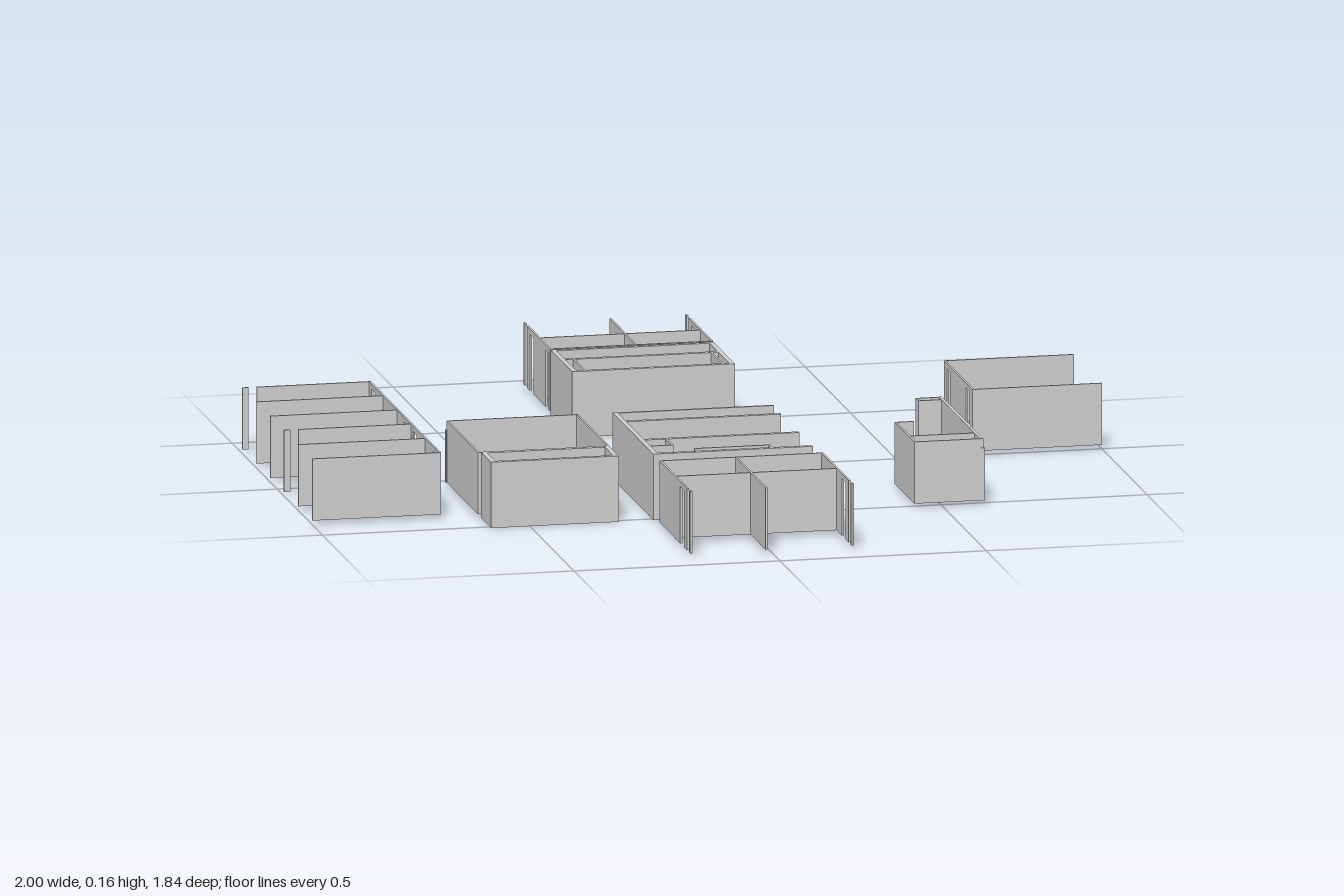
import * as THREE from 'three';

const TOP = 0.16, BASE = 0.01, THIN = 0.005, THICK = 0.012;

export function createModel() {
  const model = new THREE.Group();
  model.name = 'buildingWalls';
  const mat = new THREE.MeshStandardMaterial({ color: 0xcccccc, side: THREE.DoubleSide });

  function block(parent, name, x0, x1, y0, y1, z0, z1) {
    const mesh = new THREE.Mesh(new THREE.BoxGeometry(x1 - x0, y1 - y0, z1 - z0), mat);
    mesh.position.set((x0 + x1) / 2, (y0 + y1) / 2, (z0 + z1) / 2);
    mesh.name = name;
    parent.add(mesh);
  }

  // A straight wall along x or z; doors are [from, to] openings below a header
  function wall(parent, name, axis, pos, from, to, t = THIN, doors = [], doorTop = 0.148) {
    const y0 = t === THICK ? 0 : BASE;
    const piece = (n, a, b, low, high) => axis === 'x'
      ? block(parent, n, a, b, low, high, pos - t / 2, pos + t / 2)
      : block(parent, n, pos - t / 2, pos + t / 2, low, high, a, b);
    let start = from;
    for (const [a, b] of doors) {
      piece(name, start, a, y0, TOP);
      piece('doorHeader', a, b, doorTop, TOP);
      start = b;
    }
    piece(name, start, to, y0, TOP);
  }

  function room(name) {
    const g = new THREE.Group();
    g.name = name;
    model.add(g);
    return g;
  }

  // Row of five bays, open on the right
  const bays = room('bayRow');
  wall(bays, 'bayRearWall', 'z', -0.69, -0.39, 0.387, THIN,
    [[-0.36, -0.32], [-0.13, -0.09], [0, 0.04], [0.1, 0.14], [0.32, 0.36]]);
  [-0.388, -0.235, -0.08, 0.073, 0.23, 0.385].forEach((z, i) => {
    if (i === 0 || i === 3) {
      wall(bays, 'bayPost', 'x', z, -1, -0.985);
      wall(bays, 'bayDivider', 'x', z, -0.965, -0.69);
    } else wall(bays, 'bayDivider', 'x', z, -1, -0.69);
  });

  // Large square room with a thick-walled annex in front
  const hall = room('squareRoom');
  for (const x of [-0.6, -0.285]) wall(hall, 'sideWall', 'z', x, 0.06, 0.405);
  for (const z of [0.06, 0.403]) wall(hall, 'endWall', 'x', z, -0.6, -0.283);
  block(hall, 'cornerPost', -0.605, -0.583, BASE, 0.138, 0.056, 0.066);
  for (const x of [-0.588, -0.29]) wall(hall, 'annexSide', 'z', x, 0.4, 0.513, THICK);
  for (const z of [0.408, 0.507]) wall(hall, 'annexEnd', 'x', z, -0.594, -0.284, THICK);

  // Central hall, open on the left, with a row of doorways at the back
  const centre = room('centralRoom');
  wall(centre, 'spineWall', 'z', -0.194, 0.06, 0.51, THICK);
  wall(centre, 'doorwayWall', 'x', 0.064, -0.2, 0.19, 0.008,
    [[-0.16, -0.12], [-0.07, -0.03], [0.02, 0.06], [0.11, 0.15]], 0.115);
  for (const z of [0.155, 0.355, 0.505]) wall(centre, 'crossWall', 'x', z, -0.2, 0.187, THICK);
  wall(centre, 'closetSide', 'z', -0.135, 0.36, 0.425);
  wall(centre, 'closetFront', 'x', 0.424, -0.195, -0.133);
  wall(centre, 'nicheBack', 'x', 0.472, -0.092, 0.092);
  for (const x of [-0.09, 0.09]) wall(centre, 'nicheSide', 'z', x, 0.472, 0.502);

  // Front and back four-bay blocks, open at their outer ends
  function bayBlock(name, s, inner, cross, middle, outer, doors) {
    const g = room(name);
    const span = (a, b) => [Math.min(a * s, b * s), Math.max(a * s, b * s)];
    const sorted = doors.map(([a, b]) => span(a, b)).sort((a, b) => a[0] - b[0]);
    for (const x of [-0.198, 0.194]) {
      wall(g, 'sideWall', 'z', x, ...span(inner, 0.885), THIN, sorted);
      wall(g, 'endPost', 'z', x, ...span(outer - 0.015, outer));
    }
    wall(g, 'middleWall', 'z', middle, ...span(inner, outer));
    for (const z of [inner, cross]) wall(g, 'crossWall', 'x', z * s, -0.2, 0.196);
    return g;
  }
  bayBlock('frontBlock', 1, 0.582, 0.75, -0.015, 0.92, [[0.81, 0.85]]);
  const back = bayBlock('backBlock', -1, 0.635, 0.755, 0.01, 0.92, [[0.645, 0.68], [0.81, 0.85]]);

  // Thick-walled suite attached to the back block
  for (const x of [-0.194, 0.189]) wall(back, 'suiteSide', 'z', x, -0.623, -0.385, THICK);
  for (const z of [-0.617, -0.519, -0.391]) wall(back, 'suiteCrossWall', 'x', z, -0.2, 0.195, THICK);
  for (const x of [-0.167, 0.167]) wall(back, 'suitePartition', 'z', x, -0.519, -0.391);

  // L-shaped room on the left
  const ell = room('ellRoom');
  wall(ell, 'longWall', 'z', 0.595, 0.06, 0.517, 0.008);
  wall(ell, 'frontWall', 'x', 0.515, 0.432, 0.597);
  wall(ell, 'innerWall', 'x', 0.452, 0.432, 0.597);
  wall(ell, 'shortWall', 'z', 0.434, 0.3, 0.517);
  wall(ell, 'returnWall', 'x', 0.302, 0.432, 0.477);
  for (const z of [0.064, 0.09]) wall(ell, 'alcoveWall', 'x', z, 0.535, 0.597);
  wall(ell, 'alcoveEnd', 'z', 0.537, 0.062, 0.092);
  for (const z of [0.06, 0.5]) block(ell, 'cornerPost', 0.592, 0.602, BASE, 0.138, z, z + 0.02);

  // Three-sided room on the far left
  const side = room('openRoom');
  wall(side, 'rearWall', 'z', 0.688, -0.313, 0.002, THIN, [[-0.28, -0.24], [-0.07, -0.03]]);
  for (const z of [-0.312, 0]) wall(side, 'sideWall', 'x', z, 0.686, 1);

  return model;
}
